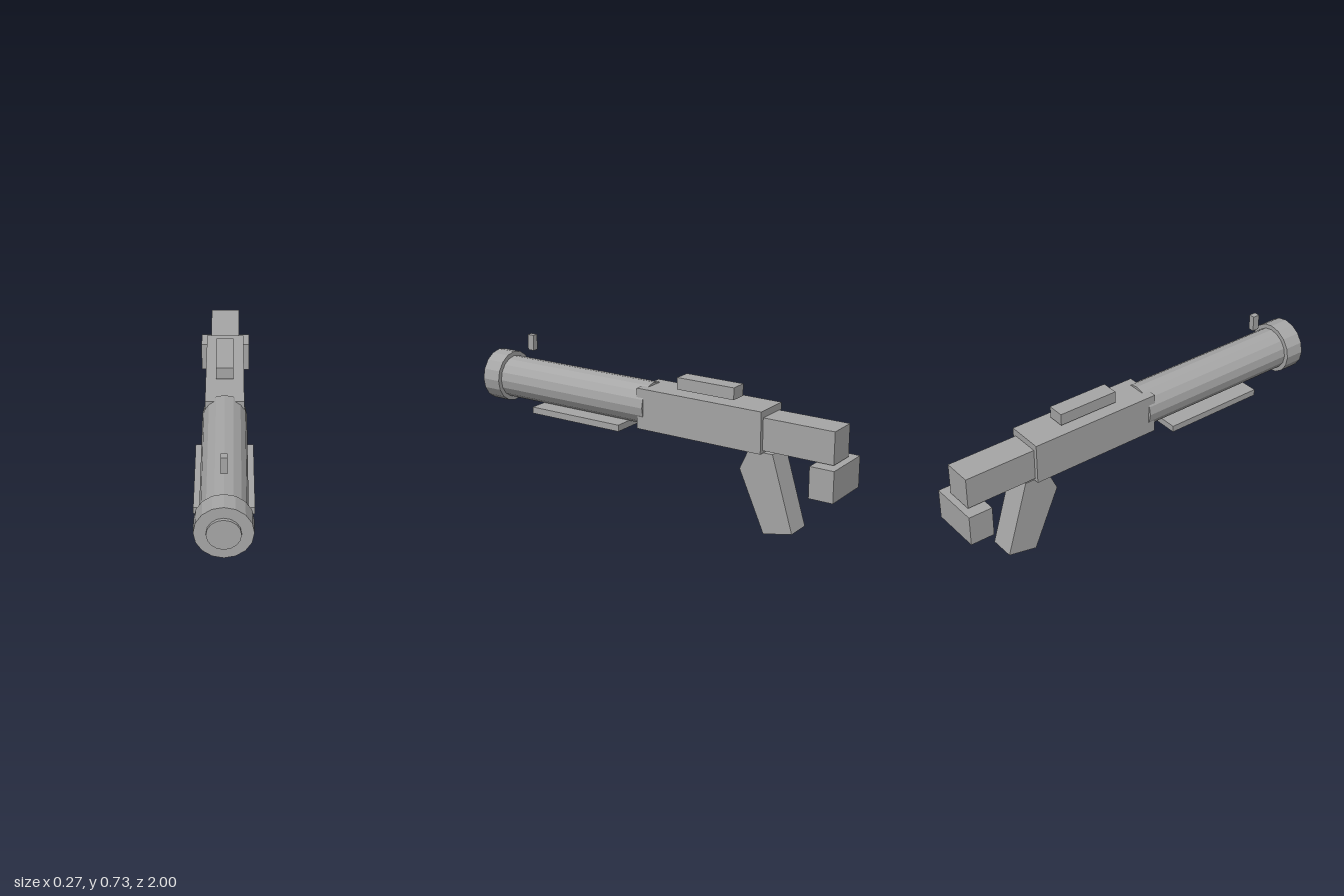
import * as THREE from 'three';

export function createModel() {
  const model = new THREE.Group();
  const grey = new THREE.MeshStandardMaterial({ color: 0xa6a6a6, flatShading: true });
  grey.name = 'grey';

  function add(name, geometry) {
    const mesh = new THREE.Mesh(geometry, grey);
    mesh.name = name;
    model.add(mesh);
  }
  // Box centred on x, given half width and y and z ranges
  function box(name, halfWidth, y0, y1, z0, z1) {
    const g = new THREE.BoxGeometry(halfWidth * 2, y1 - y0, z1 - z0);
    add(name, g.translate(0, (y0 + y1) / 2, (z0 + z1) / 2));
  }
  // Sixteen-sided cylinder along z, on the barrel axis
  function tube(name, radius, z0, z1) {
    const g = new THREE.CylinderGeometry(radius, radius, z1 - z0, 16);
    add(name, g.rotateX(Math.PI / 2).translate(0, 0.5, (z0 + z1) / 2));
  }

  // Barrel
  tube('barrel', 0.105, 0.025, 0.9);
  tube('muzzleRing', 0.127, 0.887, 0.985);
  tube('muzzlePlug', 0.074, 0.9, 1);

  // Body and stock
  box('receiver', 0.092, 0.392, 0.592, -0.613, 0.062);
  box('stock', 0.072, 0.405, 0.56, -0.97, -0.6);
  box('buttPad', 0.127, 0.25, 0.4, -1, -0.88);

  // Attachments
  box('foregripPlate', 0.135, 0.373, 0.405, 0.14, 0.663);
  box('topRail', 0.042, 0.605, 0.663, -0.44, -0.133);
  box('frontSight', 0.015, 0.656, 0.734, 0.745, 0.78);

  // Raked grip, drawn in the z-y plane and extruded across x
  const profile = [[-0.535, 0.392], [-0.66, 0.392], [-0.77, 0.03], [-0.622, 0], [-0.49, 0.293]];
  const shape = new THREE.Shape(profile.map(([z, y]) => new THREE.Vector2(z, y)));
  const grip = new THREE.ExtrudeGeometry(shape, { depth: 0.126, bevelEnabled: false });
  add('grip', grip.rotateY(-Math.PI / 2).translate(0.063, 0, 0));

  return model;
}
